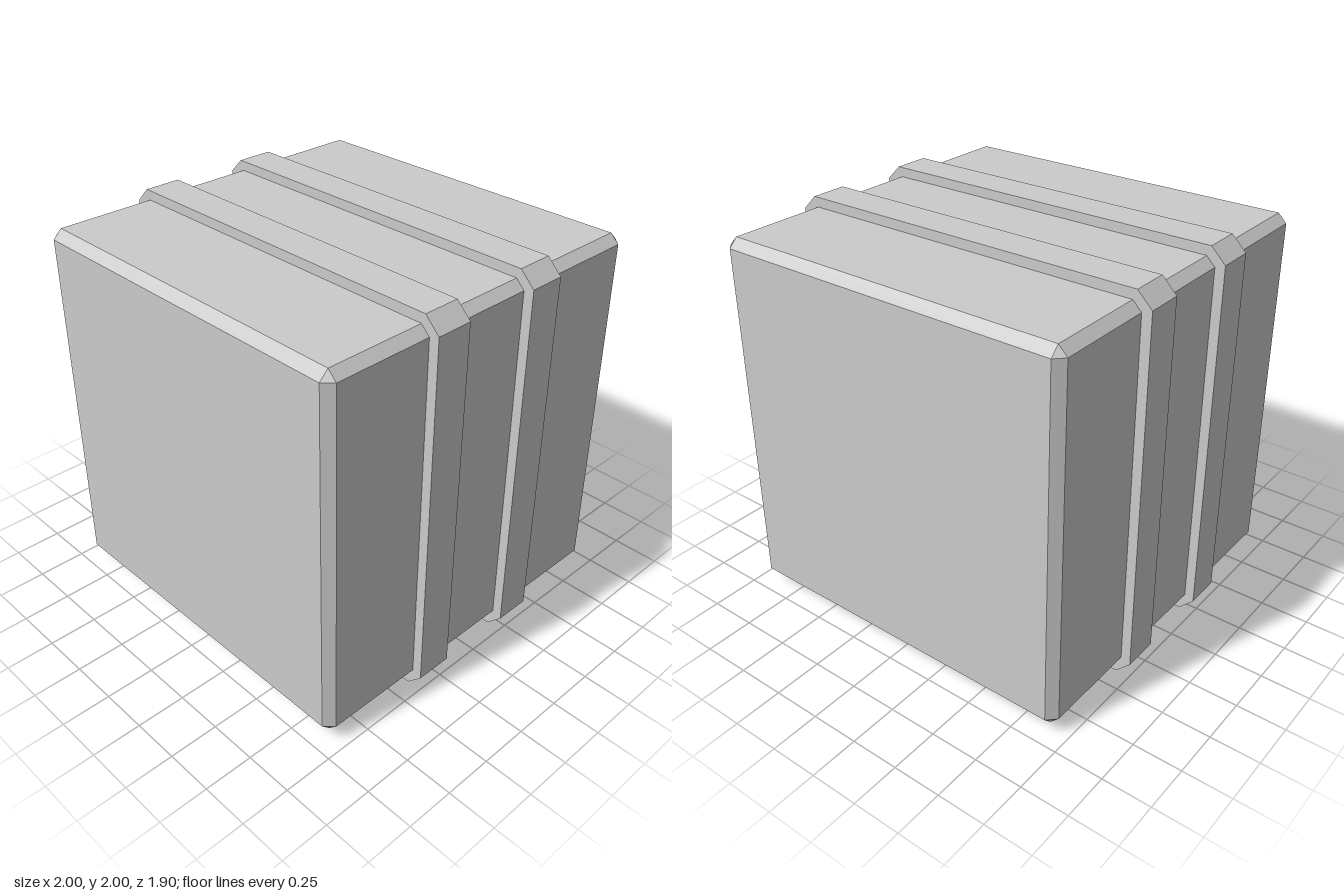
import * as THREE from 'three';
import { ConvexGeometry } from 'three/addons/geometries/ConvexGeometry.js';

const material = new THREE.MeshStandardMaterial({ color: 0xcccccc, flatShading: true });

// Cube with every edge and corner cut flat
function chamferedCube(half, cut) {
  const inner = half - cut;
  const points = [];
  for (const sx of [-1, 1]) for (const sy of [-1, 1]) for (const sz of [-1, 1]) {
    points.push(
      new THREE.Vector3(sx * half, sy * inner, sz * inner),
      new THREE.Vector3(sx * inner, sy * half, sz * inner),
      new THREE.Vector3(sx * inner, sy * inner, sz * half)
    );
  }
  return new ConvexGeometry(points);
}

// Corners of a square with its corners cut at 45 degrees
function cutSquare(half, cut) {
  const i = half - cut;
  return [[i, -half], [half, -i], [half, i], [i, half], [-i, half], [-half, i], [-half, -i], [-i, -half]]
    .map(([x, y]) => new THREE.Vector2(x, y));
}

export function createModel() {
  const group = new THREE.Group();
  group.name = 'strappedCrate';

  // Solid block
  const block = new THREE.Mesh(chamferedCube(0.95, 0.045), material);
  block.name = 'block';
  block.position.y = 1;
  group.add(block);

  // Two raised bands wrapped around the block, inner edge sunk just below its surface
  const width = 0.19;
  const outline = new THREE.Shape(cutSquare(1, 0.075));
  outline.holes.push(new THREE.Path(cutSquare(0.93, 0.06)));
  const bandGeometry = new THREE.ExtrudeGeometry(outline, { depth: width, bevelEnabled: false });
  bandGeometry.translate(0, 0, -width / 2);
  for (const [name, z] of [['frontBand', 0.3], ['backBand', -0.3]]) {
    const band = new THREE.Mesh(bandGeometry, material);
    band.name = name;
    band.position.set(0, 1, z);
    group.add(band);
  }

  return group;
}
